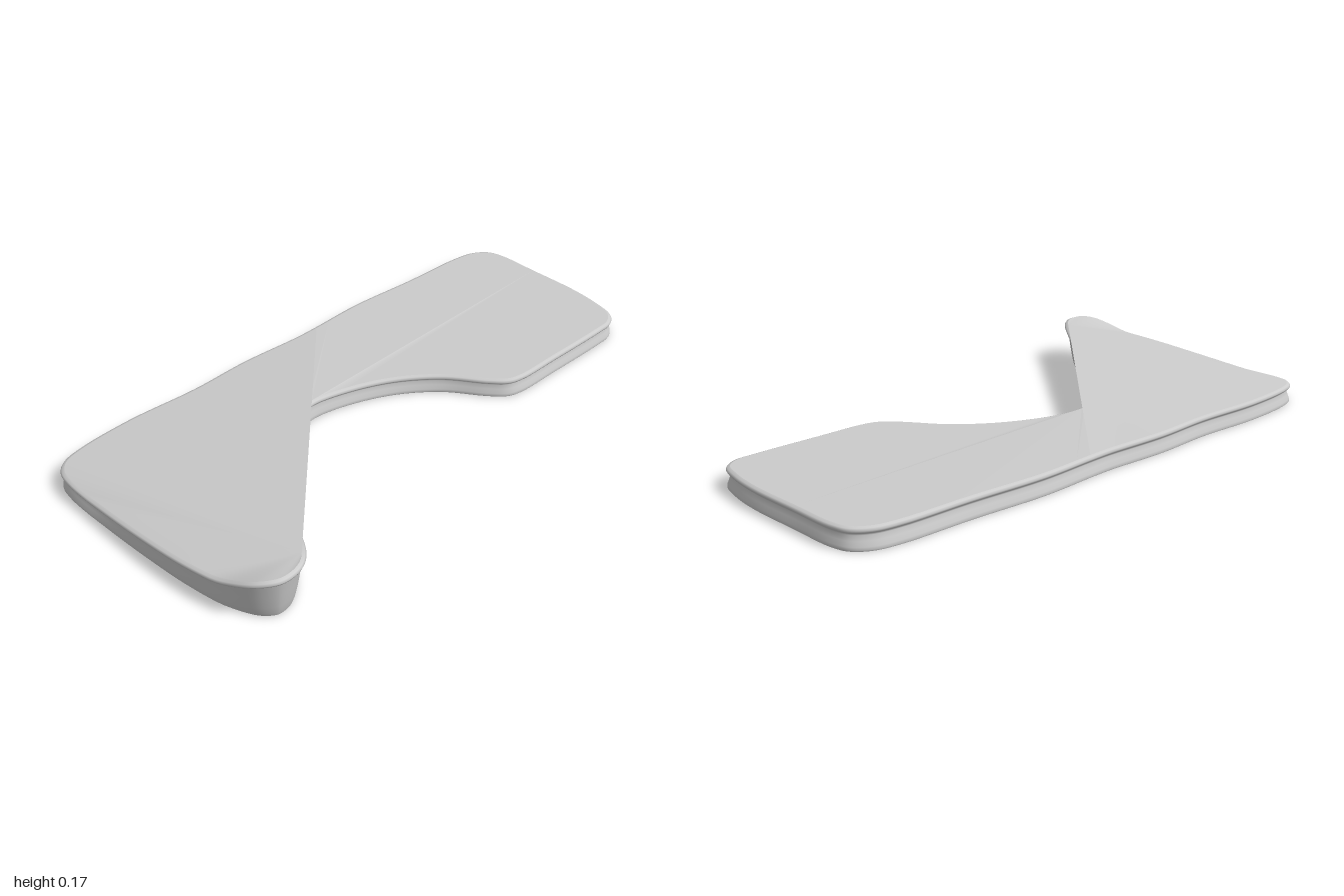
import * as THREE from 'three';

const STEPS = 6; // samples per outline control point

// Plan outline as [x, z]: tip, front, left side, back, right side, notch
const OUTLINE = [
  [0.45, 0.735], [0.485, 0.775], [0.5, 0.82], [0.495, 0.87], [0.45, 0.92], [0.35, 0.955], [0.2, 0.98], [0, 0.993],
  [-0.2, 0.998], [-0.36, 0.998], [-0.42, 0.985], [-0.46, 0.95], [-0.482, 0.88], [-0.498, 0.68], [-0.488, 0.42],
  [-0.498, 0.2], [-0.488, -0.03], [-0.49, -0.12],
  [-0.5, -0.33], [-0.485, -0.6], [-0.478, -0.85], [-0.46, -0.93], [-0.42, -0.98], [-0.36, -0.998], [-0.2, -1], [0, -1],
  [0.12, -0.985], [0.2, -0.96], [0.235, -0.91], [0.24, -0.85], [0.24, -0.6], [0.237, -0.42], [0.22, -0.37],
  [0.17, -0.32], [0.05, -0.23], [-0.04, -0.12], [-0.1, 0], [-0.135, 0.12],
  [-0.14, 0.2], [-0.1, 0.32], [0.045, 0.485], [0.2, 0.595], [0.36, 0.675],
];
const CREASE = 17 * STEPS; // left end of the fold in the top
const NOTCH = 38 * STEPS;  // where the fold leaves the notch

// Rim height: flat at the back, sweeping up towards the front tip
function rimHeight(x, z) {
  const t = THREE.MathUtils.clamp((x + 0.25) / 0.75, 0, 1);
  const rise = 0.062 * Math.pow(t, 1.1) + 0.035 * THREE.MathUtils.smoothstep(x, 0.3, 0.5);
  return 0.068 + rise * THREE.MathUtils.smoothstep(z, 0.05, 0.3);
}

// Edge section from the rim down: [inset, y], with lip, groove and drafted wall
function section(h) {
  const k = THREE.MathUtils.clamp((h - 0.068) / 0.1, 0, 1);
  const g = h - 0.026;
  return [
    [0.013, h], [0.004, h - 0.003], [0, h - 0.009], [0.003, h - 0.016], [0.011, h - 0.02],
    [0.013, g], [0.008 + 0.014 * k, g * 0.65], [0.002 + 0.03 * k, g * 0.3], [0.001 + 0.038 * k, g * 0.1], [0.003 + 0.041 * k, 0],
  ];
}

function makeMesh(name, points, index, flat) {
  let geometry = new THREE.BufferGeometry().setFromPoints(points);
  geometry.setIndex(index);
  if (flat) geometry = geometry.toNonIndexed();
  geometry.computeVertexNormals();
  const material = new THREE.MeshStandardMaterial({ color: 0xcccccc, side: THREE.DoubleSide });
  const mesh = new THREE.Mesh(geometry, material);
  mesh.name = name;
  return mesh;
}

export function createModel() {
  const group = new THREE.Group();
  group.name = 'contouredPad';

  const curve = new THREE.CatmullRomCurve3(OUTLINE.map(([x, z]) => new THREE.Vector3(x, 0, z)), true, 'centripetal');
  const count = OUTLINE.length * STEPS;
  const wall = [], rim = [], wallIndex = [];
  let rows = 0;

  // Edge wall: the section swept round the outline
  for (let i = 0; i < count; i++) {
    const p = curve.getPoint(i / count);
    const t = curve.getTangent(i / count);
    const profile = section(rimHeight(p.x, p.z));
    rows = profile.length;
    profile.forEach(([inset, y], j) => {
      const v = new THREE.Vector3(p.x - t.z * inset, y, p.z + t.x * inset);
      wall.push(v);
      if (j === 0) rim.push(v);
    });
  }
  for (let i = 0; i < count; i++) {
    const n = (i + 1) % count;
    for (let j = 0; j < rows - 1; j++) {
      const a = i * rows + j, b = n * rows + j;
      wallIndex.push(a, b, a + 1, b, b + 1, a + 1);
    }
  }
  group.add(makeMesh('edgeWall', wall, wallIndex, false));

  // Front top: ruled from the raised tip to the front and left rim
  const fan = [];
  for (let i = 1; i < CREASE; i++) fan.push(0, i + 1, i);
  group.add(makeMesh('frontTop', rim.slice(0, CREASE + 1), fan, false));

  // Back top: flat sheet between the fold and the back rim
  const back = rim.slice(CREASE, NOTCH + 1);
  const faces = THREE.ShapeUtils.triangulateShape(back.map((v) => new THREE.Vector2(v.x, -v.z)), []);
  const up = new THREE.Vector3();
  const backIndex = faces.flatMap(([a, b, c]) => {
    up.subVectors(back[b], back[a]).cross(back[c].clone().sub(back[a]));
    return up.y > 0 ? [a, b, c] : [a, c, b];
  });
  group.add(makeMesh('backTop', back, backIndex, true));

  // Narrow riser closing the step along the fold
  group.add(makeMesh('foldRiser', [rim[CREASE], rim[NOTCH], rim[0]], [0, 1, 2], true));

  return group;
}
